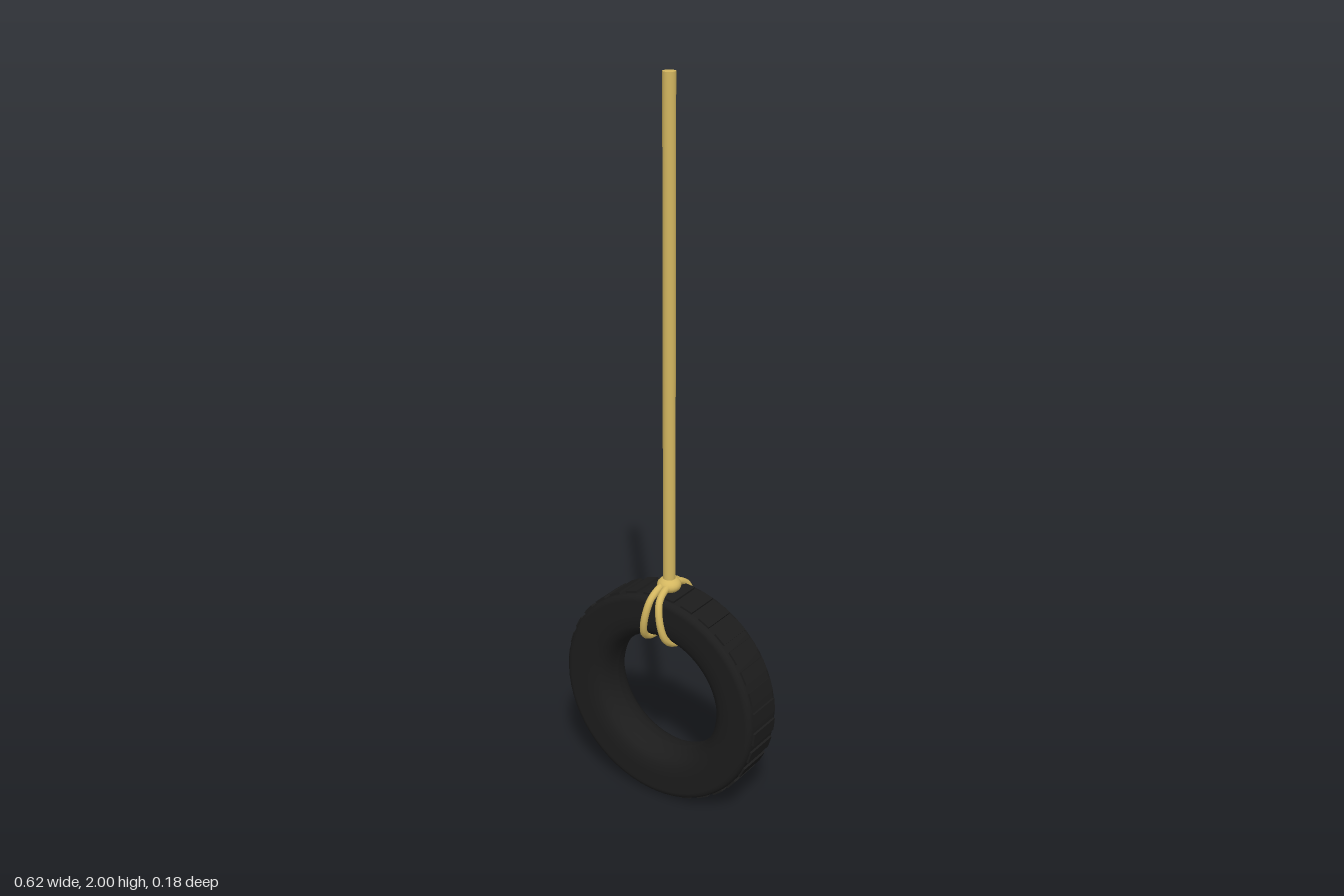
import * as THREE from 'three';

const TYRE_Y = 0.315;

function material(name, color) {
  const m = new THREE.MeshStandardMaterial({ color });
  m.name = name;
  return m;
}

function add(parent, name, geometry, mat, x = 0, y = 0, z = 0) {
  const mesh = new THREE.Mesh(geometry, mat);
  mesh.name = name;
  mesh.position.set(x, y, z);
  parent.add(mesh);
  return mesh;
}

export function createModel() {
  const model = new THREE.Group();
  model.name = 'tyreSwing';
  const rubber = material('blackRubber', 0x1c1c1c);
  const fibre = material('ropeTan', 0xd4b760);

  // Tyre: closed section (radius, depth) turned about the z axis
  const half = [
    [0.174, 0], [0.176, 0.02], [0.182, 0.04], [0.194, 0.056], [0.212, 0.065],
    [0.24, 0.068], [0.288, 0.068], [0.297, 0.066], [0.303, 0.06], [0.305, 0.05],
  ];
  const side = half.map(([r, d]) => new THREE.Vector2(r, d));
  const mirrored = half.slice(1).map(([r, d]) => new THREE.Vector2(r, -d));
  // The section runs from the hole, round the back, over the tread and home by the front
  const section = [side[0], ...mirrored, ...side.slice(1).reverse(), side[0].clone()];
  const tyre = new THREE.Group();
  tyre.name = 'tyre';
  tyre.position.y = TYRE_Y;
  model.add(tyre);
  const body = add(tyre, 'tyreBody', new THREE.LatheGeometry(section, 64), rubber);
  body.rotation.x = Math.PI / 2;

  // Tread blocks around the rim
  const count = 32;
  const block = new THREE.BoxGeometry(0.037, 0.016, 0.102);
  for (let i = 0; i < count; i++) {
    const a = ((i + 0.5) / count) * Math.PI * 2;
    const tread = add(tyre, 'treadBlock', block, rubber, Math.sin(a) * 0.302, Math.cos(a) * 0.302, 0);
    tread.rotation.z = -a;
  }

  // Hanging rope and knot
  add(model, 'hangingRope', new THREE.CylinderGeometry(0.017, 0.017, 1.36, 16), fibre, 0, 1.32, 0);
  const knot = add(model, 'knot', new THREE.SphereGeometry(0.033, 20, 14), fibre, 0, 0.638, 0);
  knot.scale.y = 0.68;

  // Two loops round the tyre, spreading apart towards the bottom
  const loop = [[0, 0.64], [0.04, 0.634], [0.068, 0.612], [0.08, 0.56], [0.07, 0.512], [0.04, 0.488], [0, 0.481]];
  const outline = [...loop, ...loop.slice(1, -1).reverse().map(([z, y]) => [-z, y])];
  for (const s of [-1, 1]) {
    const points = outline.map(([z, y]) => new THREE.Vector3(s * (0.009 + (0.64 - y) * 0.2), y, z));
    const path = new THREE.CatmullRomCurve3(points, true);
    add(model, s > 0 ? 'leftLoop' : 'rightLoop', new THREE.TubeGeometry(path, 64, 0.01, 10, true), fibre);
  }
  return model;
}
